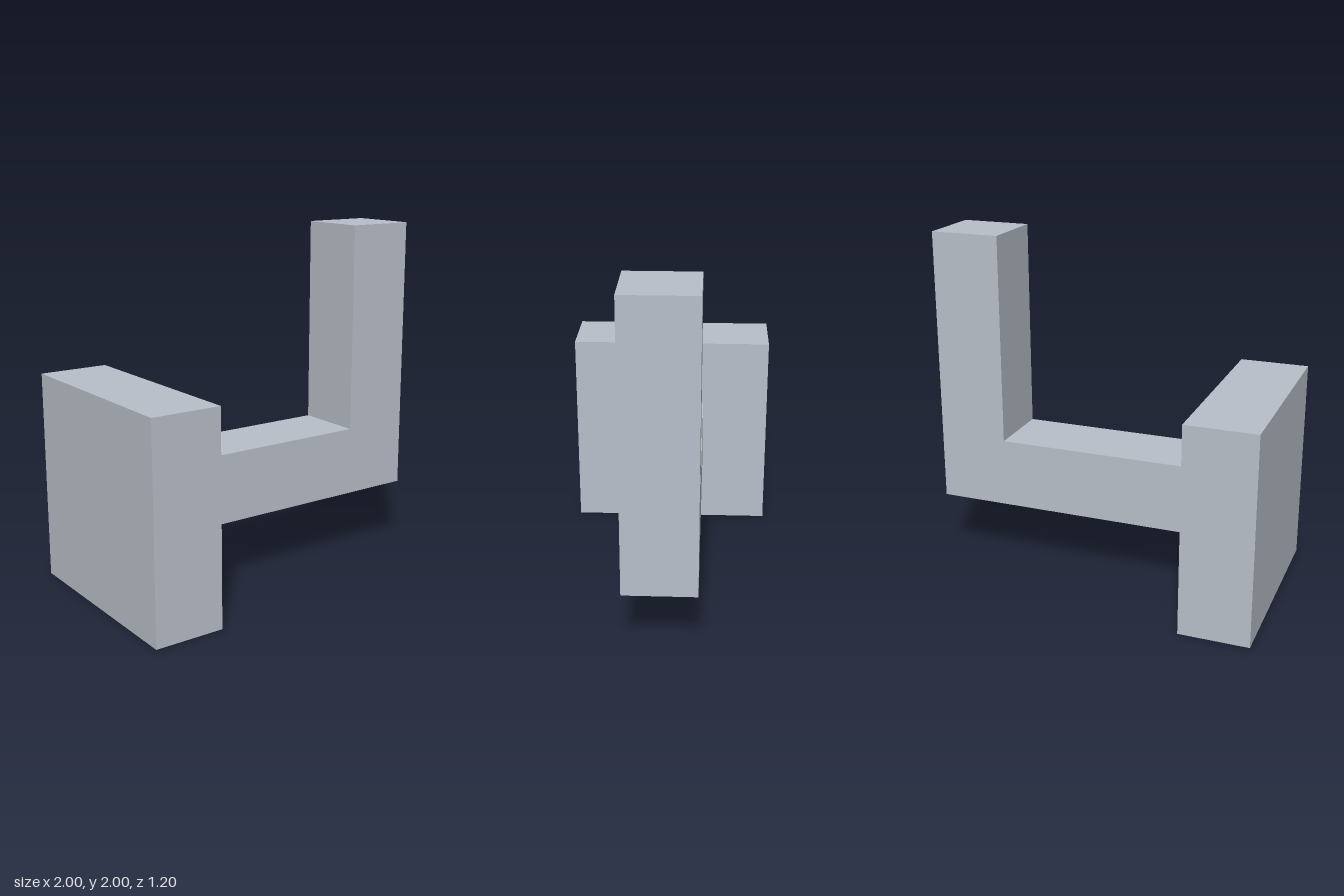
import * as THREE from 'three';

export function createModel() {
  const group = new THREE.Group();
  const metal = new THREE.MeshStandardMaterial({ color: 0xb9c0ca });
  metal.name = 'pale grey metal';

  // Square mounting plate
  const plate = new THREE.Mesh(new THREE.BoxGeometry(0.4, 1.2, 1.2), metal);
  plate.name = 'wallPlate';
  plate.position.set(-0.8, 0.6, 0);
  group.add(plate);

  // L-shaped hook: horizontal arm with an upright end, one square section
  const profile = new THREE.Shape([
    [-0.6, 0.4], [1, 0.4], [1, 2], [0.6, 2], [0.6, 0.8], [-0.6, 0.8],
  ].map(([x, y]) => new THREE.Vector2(x, y)));
  const hookGeometry = new THREE.ExtrudeGeometry(profile, { depth: 0.4, bevelEnabled: false });
  hookGeometry.translate(0, 0, -0.2);
  const hook = new THREE.Mesh(hookGeometry, metal);
  hook.name = 'hookArm';
  group.add(hook);

  return group;
}
